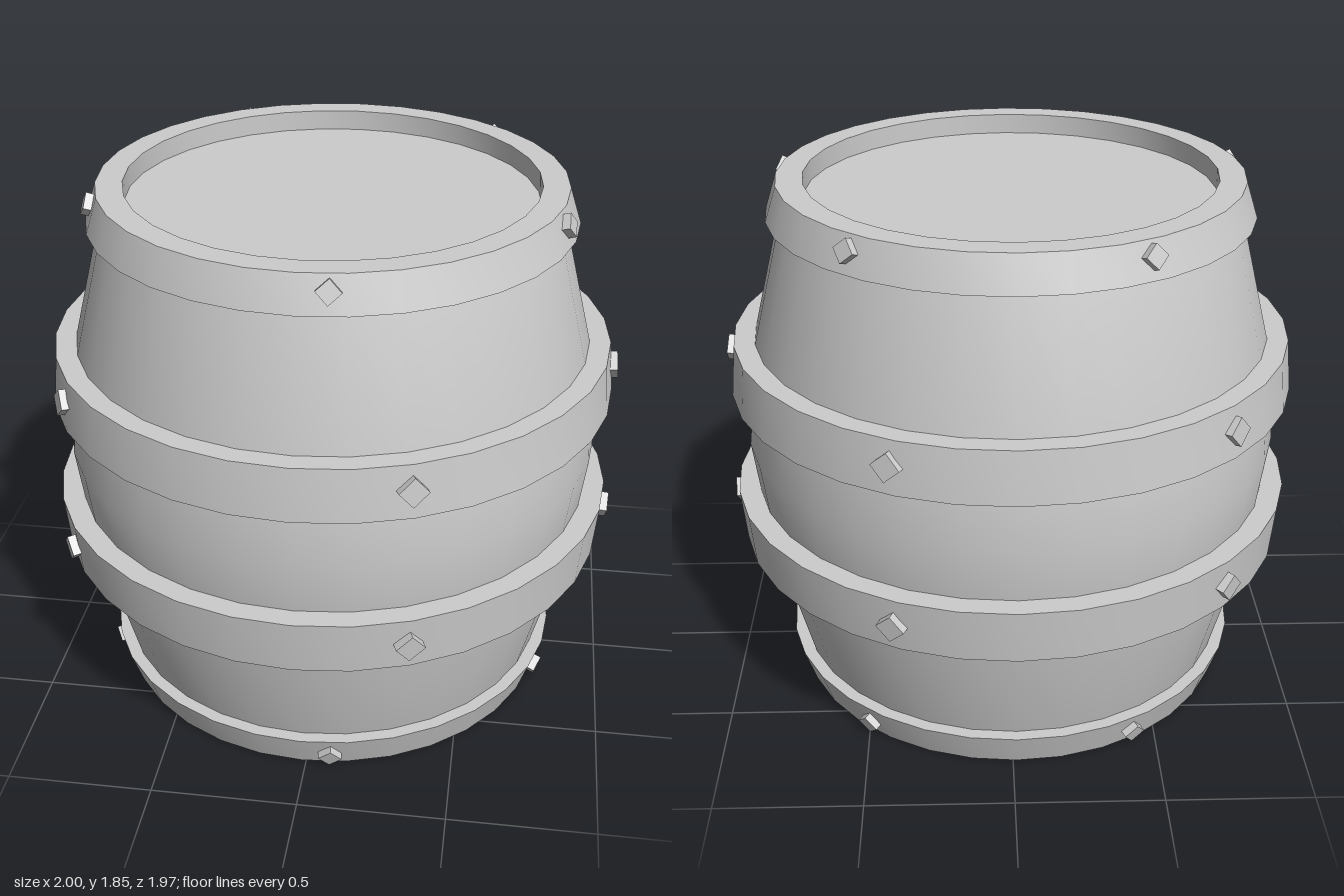
import * as THREE from 'three';
import { toCreasedNormals } from 'three/addons/utils/BufferGeometryUtils.js';

const SIDES = 32;
const CENTRE_X = -0.013;

export function createModel() {
  const model = new THREE.Group();
  model.name = 'barrel';
  const grey = new THREE.MeshStandardMaterial({ color: 0xcccccc });
  grey.name = 'plain grey';

  // Profile runs from bottom to top along the outside
  function turned(name, profile) {
    const points = profile.map(([r, y]) => new THREE.Vector2(r, y));
    const geometry = toCreasedNormals(new THREE.LatheGeometry(points, SIDES), 0.6);
    const mesh = new THREE.Mesh(geometry, grey);
    mesh.name = name;
    mesh.position.x = CENTRE_X;
    model.add(mesh);
  }

  // Closed ring with a sloping outer face
  function ring(name, inner, y0, r0, y1, r1) {
    turned(name, [[inner, y0], [r0, y0], [r1, y1], [inner, y1], [inner, y0]]);
  }

  // Bulging staves with the two recessed heads
  turned('body', [
    [0, 0.07], [0.765, 0.07], [0.78, 0.12], [0.89, 0.55], [0.911, 0.74], [0.934, 0.925],
    [0.911, 1.11], [0.89, 1.3], [0.78, 1.73], [0.765, 1.78], [0, 1.78],
  ]);

  // Rims and hoops
  ring('bottomRim', 0.695, 0, 0.785, 0.12, 0.825);
  ring('lowerHoop', 0.86, 0.55, 0.97, 0.74, 0.987);
  ring('upperHoop', 0.86, 1.12, 0.98, 1.3, 0.962);
  ring('topRim', 0.695, 1.73, 0.825, 1.85, 0.785);

  // Square rivets set on their corners, five to each ring
  const angles = [22, 90, 156, 225, 302];
  function rivets(name, y, radius, size, turn, tilt) {
    const group = new THREE.Group();
    group.name = name;
    group.position.x = CENTRE_X;
    const geometry = new THREE.BoxGeometry(size, size, 0.05);
    for (const angle of angles) {
      const a = THREE.MathUtils.degToRad(angle + turn);
      const rivet = new THREE.Mesh(geometry, grey);
      rivet.name = 'rivet';
      rivet.position.set(Math.sin(a) * radius, y, Math.cos(a) * radius);
      rivet.rotation.set(tilt, a, 0.72, 'YXZ');
      group.add(rivet);
    }
    model.add(group);
  }
  rivets('bottomRivets', 0.055, 0.8, 0.057, -15, 0.32);
  rivets('lowerRivets', 0.645, 0.98, 0.07, 0, 0.09);
  rivets('upperRivets', 1.215, 0.968, 0.07, 0, -0.1);
  rivets('topRivets', 1.8, 0.8, 0.057, -15, -0.32);

  return model;
}
